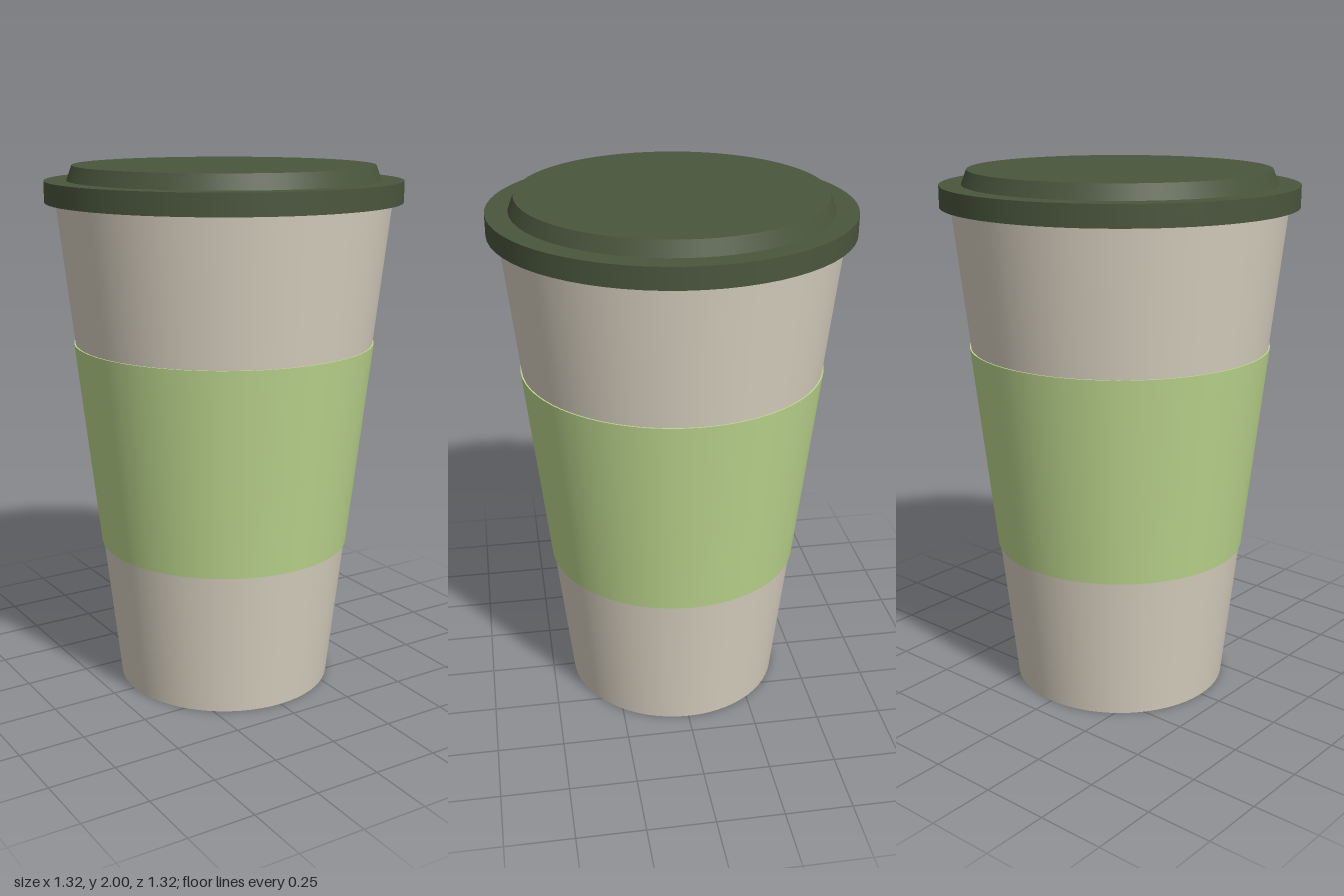
import * as THREE from 'three';

const SEGMENTS = 64;

function material(name, color) {
  const m = new THREE.MeshStandardMaterial({ color });
  m.name = name;
  return m;
}

// Tapered round part standing between heights y0 and y1
function taper(name, mat, rBottom, rTop, y0, y1, open = false) {
  const geometry = new THREE.CylinderGeometry(rTop, rBottom, y1 - y0, SEGMENTS, 1, open);
  const mesh = new THREE.Mesh(geometry, mat);
  mesh.name = name;
  mesh.position.y = (y0 + y1) / 2;
  return mesh;
}

// Flat ring closing the small gap between the sleeve and the cup
function edgeRing(name, mat, inner, outer, y, up) {
  const mesh = new THREE.Mesh(new THREE.RingGeometry(inner, outer, SEGMENTS), mat);
  mesh.name = name;
  mesh.rotation.x = up ? -Math.PI / 2 : Math.PI / 2;
  mesh.position.y = y;
  return mesh;
}

export function createModel() {
  const paper = material('warm grey paper', 0xd9d1c1);
  const green = material('light green sleeve', 0xbdd78e);
  const dark = material('dark green lid', 0x4a563d);

  const model = new THREE.Group();
  model.name = 'takeawayCup';

  // Cup body
  model.add(taper('cupBody', paper, 0.412, 0.62, 0, 1.87));

  // Sleeve wrapped around the middle
  const sleeve = new THREE.Group();
  sleeve.name = 'sleeve';
  sleeve.add(
    taper('sleeveWall', green, 0.48, 0.567, 0.56, 1.345, true),
    edgeRing('sleeveTopEdge', green, 0.558, 0.567, 1.345, true),
    edgeRing('sleeveBottomEdge', green, 0.47, 0.48, 0.56, false),
  );
  model.add(sleeve);

  // Lid: wide rim with a raised, slightly tapered top
  const lid = new THREE.Group();
  lid.name = 'lid';
  lid.add(
    taper('lidRim', dark, 0.66, 0.66, 1.868, 1.946),
    taper('lidTop', dark, 0.578, 0.558, 1.946, 2),
  );
  model.add(lid);

  return model;
}
